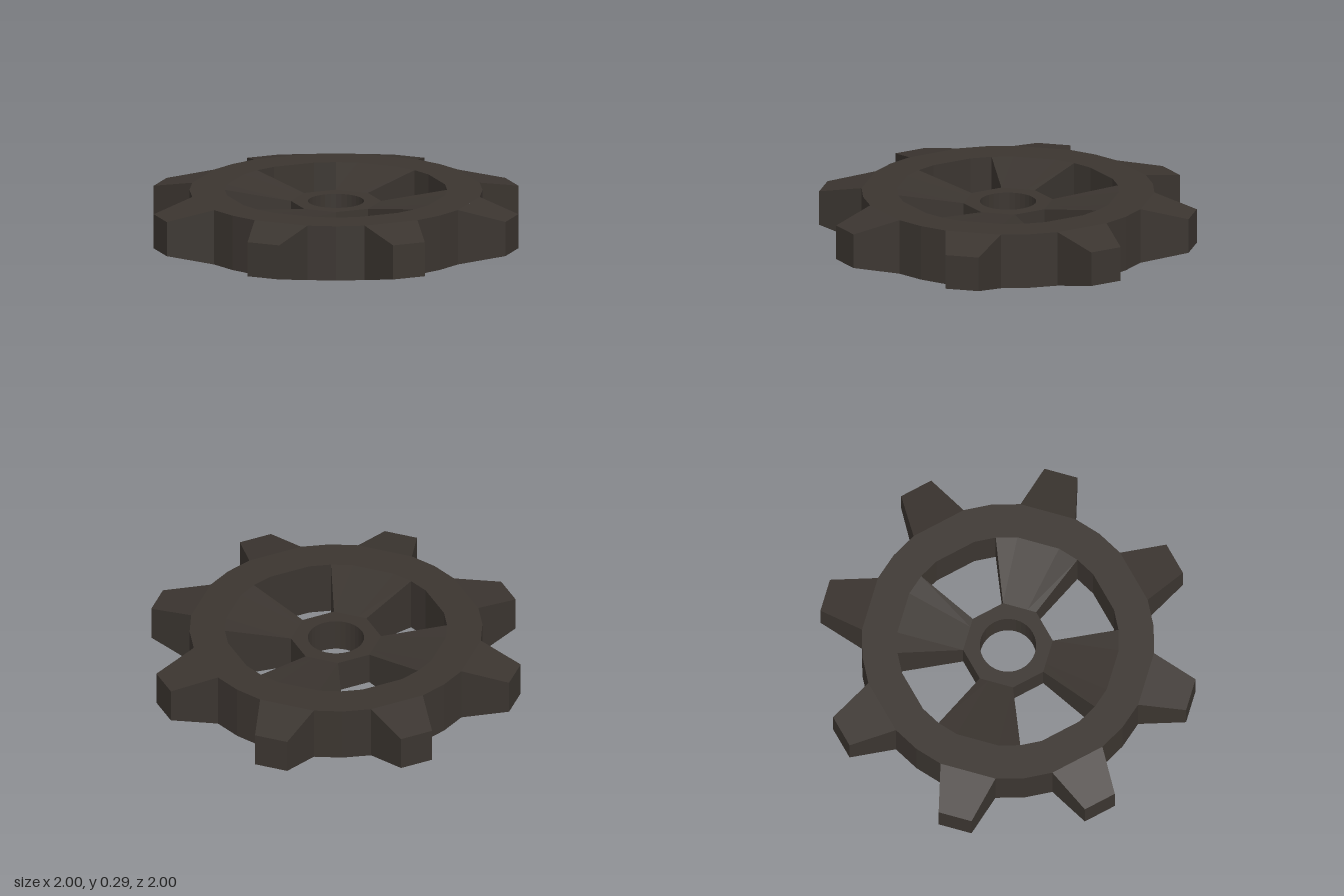
import * as THREE from 'three';

const STEPS = 32;              // angular divisions of the wheel
const MID = 0.1475;            // mid-height of the wheel
const RIM_H = 0.1475, HUB_H = 0.0875, TIP_H = 0.0925; // half heights

const material = new THREE.MeshStandardMaterial({ color: 0x3b3530, flatShading: true });

// Corner at angular step k: x, z and half height
function corner(k, r, h) {
  const a = (k / STEPS) * Math.PI * 2;
  return [r * Math.cos(a), r * Math.sin(a), h];
}

// Rim circles are flattened behind each tooth (every fourth step)
const flat = (k, r) => (k % 4 === 0 ? r * Math.cos(Math.PI / 16) : r);
const hole = k => corner(k, 0.148, HUB_H);
const rimIn = k => corner(k, flat(k, 0.584), RIM_H);
const rimOut = k => corner(k, flat(k, 0.77), RIM_H);

// The hub is an octagon with its corners midway between the teeth
function hubOut(k) {
  const m = (((k % 4) + 4) % 4) - (k % 4 === 3 ? 4 : 0);
  const off = m === 2 ? Math.PI / 8 : (Math.abs(m) * Math.PI) / 16;
  return corner(k, 0.219 / Math.cos(off), HUB_H);
}

// Block through four corners, mirrored about mid-height; walls lists its closed sides
function block(out, c, walls) {
  const top = c.map(([x, z, h]) => [x, MID + h, z]);
  const bot = c.map(([x, z, h]) => [x, MID - h, z]);
  const quad = (p, q, r, s) => out.push(...p, ...q, ...r, ...p, ...r, ...s);
  quad(...top);
  quad(bot[3], bot[2], bot[1], bot[0]);
  for (const i of walls) {
    const j = (i + 1) % 4;
    quad(bot[i], bot[j], top[j], top[i]);
  }
}

function addPart(group, name, positions) {
  const geometry = new THREE.BufferGeometry();
  geometry.setAttribute('position', new THREE.Float32BufferAttribute(positions, 3));
  geometry.computeVertexNormals();
  const mesh = new THREE.Mesh(geometry, material);
  mesh.name = name;
  group.add(mesh);
}

export function createModel() {
  const group = new THREE.Group();
  group.name = 'gearWheel';
  const hub = [], rim = [];

  // Hub and rim, one sector at a time
  for (let k = 0; k < STEPS; k++) {
    const isWindow = k % 8 >= 2 && k % 8 <= 5;
    const isGap = k % 4 === 1 || k % 4 === 2;
    block(hub, [hole(k), hole(k + 1), hubOut(k + 1), hubOut(k)], isWindow ? [0, 2] : [0]);
    const rimWalls = [];
    if (isWindow) rimWalls.push(0);
    if (isGap) rimWalls.push(2);
    block(rim, [rimIn(k), rimIn(k + 1), rimOut(k + 1), rimOut(k)], rimWalls);
  }
  addPart(group, 'hub', hub);
  addPart(group, 'rim', rim);

  // Four flared spokes sloping down from the rim to the thinner hub
  for (let s = 0; s < 4; s++) {
    const spoke = [];
    for (let i = 6; i < 10; i++) {
      const k = s * 8 + i;
      const walls = i === 6 ? [3] : i === 9 ? [1] : [];
      block(spoke, [hubOut(k), hubOut(k + 1), rimIn(k + 1), rimIn(k)], walls);
    }
    addPart(group, 'spoke' + (s + 1), spoke);
  }

  // Eight teeth tapering in width and height
  const tipAngle = (Math.atan(0.09) / (Math.PI * 2)) * STEPS;
  const tipRadius = Math.hypot(1, 0.09);
  for (let t = 0; t < 8; t++) {
    const k = t * 4 + 4, tooth = [];
    block(tooth, [
      rimOut(k - 1), rimOut(k + 1),
      corner(k + tipAngle, tipRadius, TIP_H), corner(k - tipAngle, tipRadius, TIP_H),
    ], [1, 2, 3]);
    addPart(group, 'tooth' + (t + 1), tooth);
  }
  return group;
}
